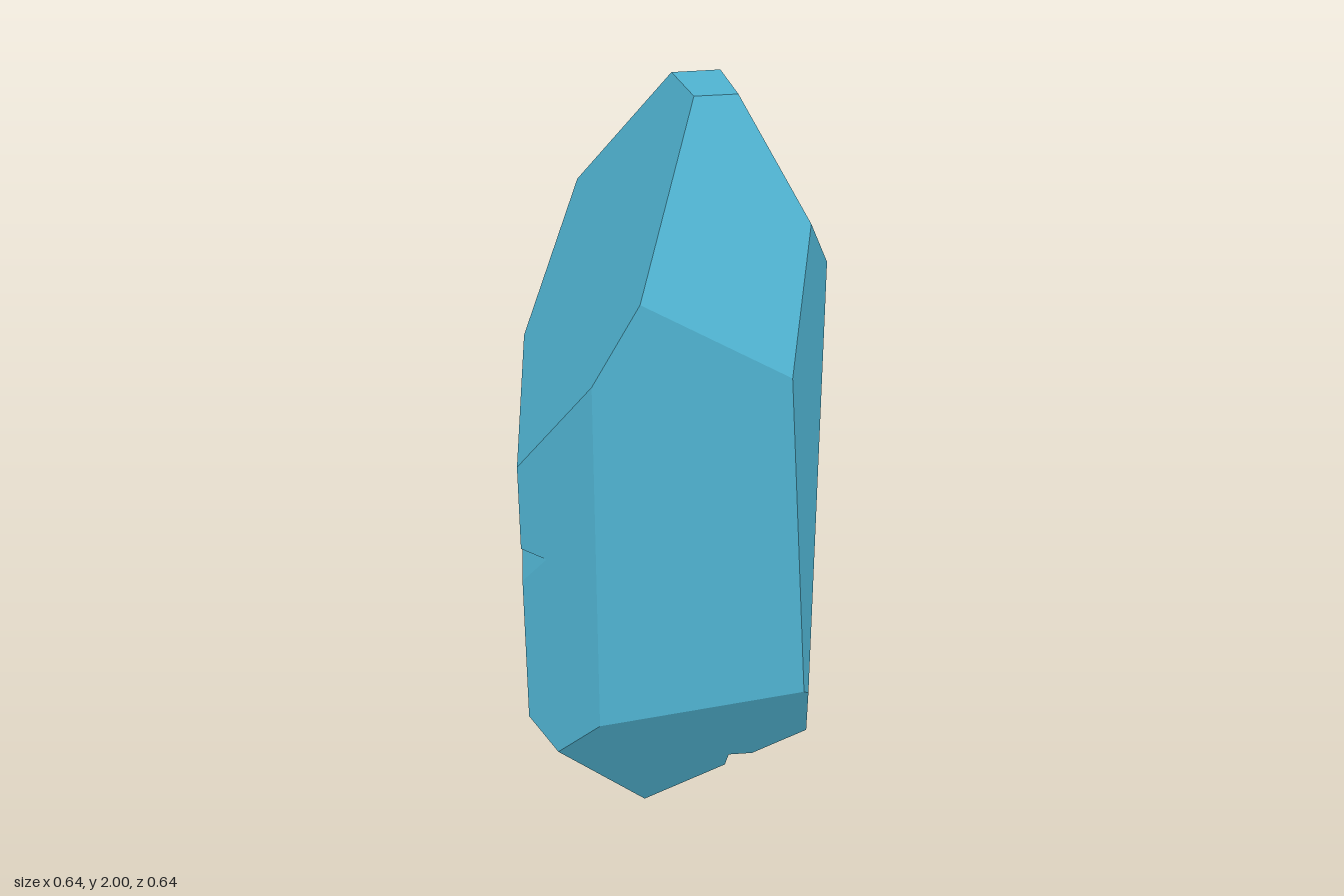
import * as THREE from 'three';

// Corners of the crystal, one letter each, listed by region
const corners = {
  // flat tip
  a: [0, 2, 0.065], b: [0.095, 2, 0.047], c: [0.135, 2, 0.15], d: [0.05, 2, 0.165],
  // shoulder
  e: [-0.205, 1.69, -0.055], f: [-0.32, 1.35, 0.025], g: [-0.32, 1.14, 0.22],
  h: [-0.145, 1.42, 0.32], i: [-0.045, 1.62, 0.32], j: [0.26, 1.46, 0.32],
  k: [0.285, 1.75, 0.205], l: [0.32, 1.62, 0.13], m: [0.32, 1.37, -0.23],
  n: [0.265, 1.45, -0.26], o: [0.11, 1.27, -0.32], p: [-0.255, 1.12, -0.32],
  q: [-0.32, 0.855, -0.32],
  // lower rim
  r: [-0.32, 0.465, -0.32], s: [0.03, 0.44, -0.32], t: [0.32, 0.69, -0.2],
  u: [0.32, 0.39, 0.18], v: [0.32, 0.61, 0.3], w: [0.31, 0.63, 0.32],
  x: [-0.145, 0.5, 0.32], y: [-0.25, 0.36, 0.26], z: [-0.32, 0.43, 0.22],
  A: [-0.32, 0.22, -0.19],
  // bottom edge
  B: [-0.12, 0.02, -0.08], C: [-0.07, 0, 0.03],
  // chip in the upper back ridge
  D: [0.2, 1.656, -0.145], E: [0.231, 1.56, -0.199], F: [-0.06, 1.56, -0.145], G: [0.25, 1.56, -0.145],
  // chip in the bottom ridge
  H: [0.13, 0.2, 0.107], I: [0.195, 0.265, 0.132], J: [0.14, 0.265, 0.141], K: [0.1, 0.265, -0.02],
  // chip in the side edge
  L: [-0.32, 0.92, 0.22], M: [-0.32, 0.83, 0.22], N: [-0.26, 0.92, 0.254], O: [-0.32, 0.92, 0.19],
};

// Facets as loops of corners
const facets = [
  'abcd', // tip
  'abDFEnope', 'bcklmnEGD', 'cdijk', 'daefghi', 'epqf', // upper slopes
  'fqrAzMOLg', 'gLNMzyxh', 'hxwji', 'jwvlk', 'lvutm', 'mtson', 'osrqp', // sides
  'wxyCHJIuv', 'uIKHCBst', 'yzABC', 'ArsB', // lower slopes
  'DFG', 'FEG', 'HJK', 'JIK', 'MNO', 'LNO', // inside the chips
];

const centre = new THREE.Vector3(0, 1, 0);

// Flat polygon -> triangles facing away from the crystal's centre
function addFacet(loop, positions, normals) {
  const pts = [...loop].map((key) => new THREE.Vector3(...corners[key]));
  const normal = new THREE.Vector3();
  const cross = new THREE.Vector3();
  pts.forEach((p, i) => normal.add(cross.crossVectors(p, pts[(i + 1) % pts.length])));
  normal.normalize();
  if (normal.dot(pts[0].clone().sub(centre)) < 0) {
    normal.negate();
    pts.reverse();
  }

  // lay the loop out in its own plane
  const u = pts[1].clone().sub(pts[0]).projectOnPlane(normal).normalize();
  const v = normal.clone().cross(u);
  const flat = pts.map((p) => new THREE.Vector2(p.dot(u), p.dot(v)));

  for (const [i, j, k] of THREE.ShapeUtils.triangulateShape(flat, [])) {
    const side = flat[j].clone().sub(flat[i]).cross(flat[k].clone().sub(flat[i]));
    for (const index of side > 0 ? [i, j, k] : [i, k, j]) {
      positions.push(...pts[index].toArray());
      normals.push(...normal.toArray());
    }
  }
}

export function createModel() {
  const positions = [];
  const normals = [];
  facets.forEach((loop) => addFacet(loop, positions, normals));

  const geometry = new THREE.BufferGeometry();
  geometry.setAttribute('position', new THREE.Float32BufferAttribute(positions, 3));
  geometry.setAttribute('normal', new THREE.Float32BufferAttribute(normals, 3));

  const crystal = new THREE.Mesh(geometry, new THREE.MeshStandardMaterial({ color: 0x50b4d2 }));
  crystal.name = 'crystal';

  const group = new THREE.Group();
  group.name = 'chippedCrystal';
  group.add(crystal);
  return group;
}
